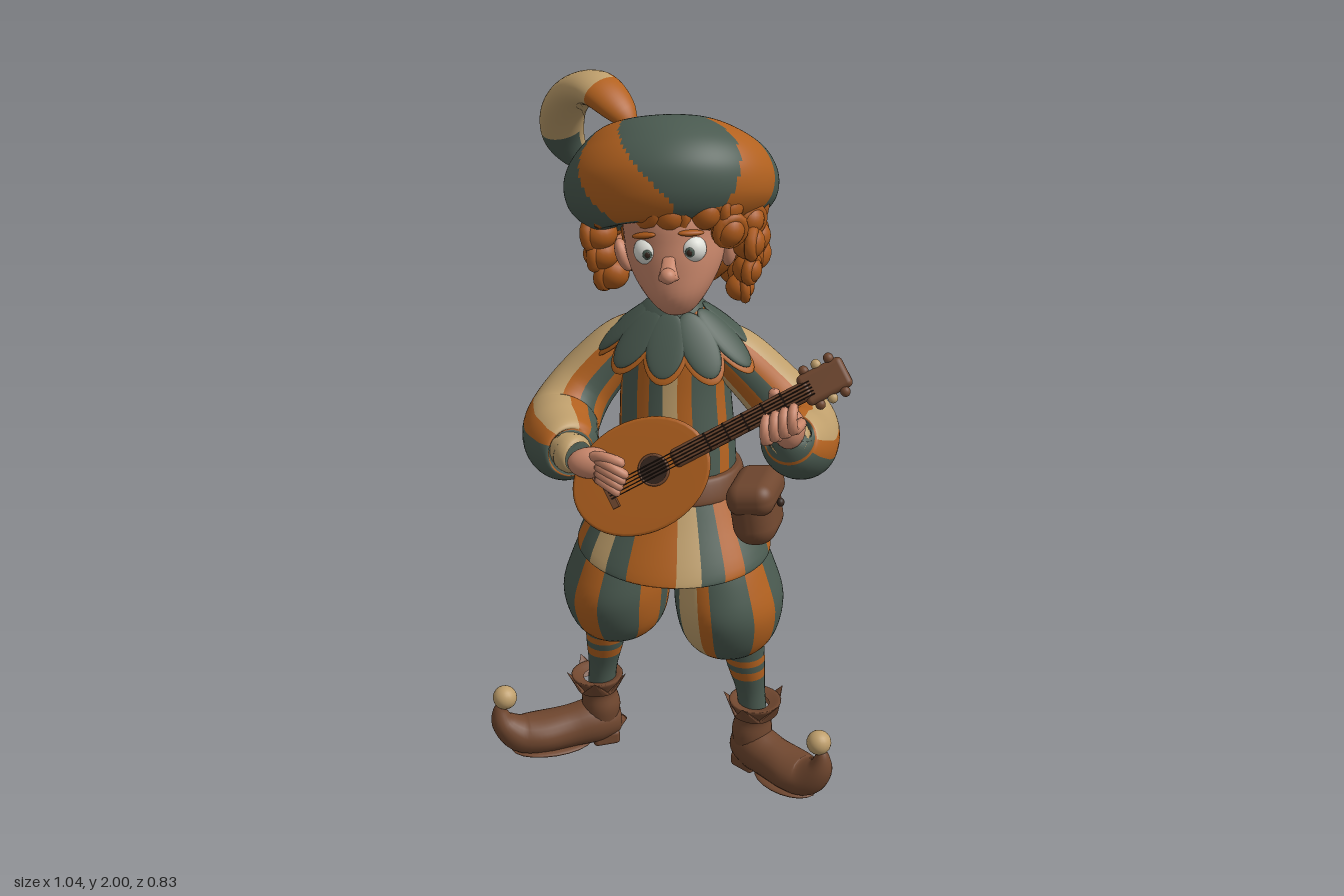
import * as THREE from 'three';
import { RoundedBoxGeometry } from 'three/addons/geometries/RoundedBoxGeometry.js';

const V = (x, y, z) => new THREE.Vector3(x, y, z);
const X = V(1, 0, 0), Y = V(0, 1, 0), Z = V(0, 0, 1);

export function createModel() {
  const root = new THREE.Group();
  root.name = 'minstrel';
  const mat = (name, color) => Object.assign(new THREE.MeshStandardMaterial({ color }), { name });
  const M = {
    G: mat('green cloth', 0x4a5a50), O: mat('orange cloth', 0xb2611f), C: mat('cream cloth', 0xbf9f6c),
    B: mat('brown leather', 0x70472f), S: mat('skin', 0xc8866a), H: mat('ginger hair', 0xa9581a),
    W: mat('eye white', 0xdedfd8), D: mat('dark brown', 0x35261e),
  };

  const add = (name, geo, key, pos = [0, 0, 0], parent = root, scale = [1, 1, 1], rot = [0, 0, 0]) => {
    const m = new THREE.Mesh(geo, M[key]);
    m.name = name;
    m.position.set(...pos); m.scale.set(...scale); m.rotation.set(...rot);
    parent.add(m);
    return m;
  };
  const group = (name, pos = [0, 0, 0], rot = [0, 0, 0], parent = root) => {
    const g = new THREE.Group();
    g.name = name; g.position.set(...pos); g.rotation.set(...rot);
    parent.add(g);
    return g;
  };
  const ball = new THREE.SphereGeometry(1, 20, 14);
  const stripes = s => u => s[Math.floor(u * s.length)];

  // Smooth tube through elliptical sections [x, y, z, radius along ref, radius across it].
  // paint is a colour key or a function (u around, v along, point) giving one.
  function loft(name, keys, paint, { parent = root, ref = Z, axis = null, nu = 24, nv = 20, warp = null } = {}) {
    const spline = pick => new THREE.CatmullRomCurve3(keys.map(pick), false, 'catmullrom', 0.5);
    const path = spline(k => V(k[0], k[1], k[2])), size = spline(k => V(k[3], k[4], 0));
    const pos = [], faces = {};
    for (let j = 0; j <= nv; j++) {
      const c = path.getPoint(j / nv), r = size.getPoint(j / nv);
      const T = axis || path.getTangent(j / nv);
      const N = ref.clone().addScaledVector(T, -ref.dot(T)).normalize(), B = V().crossVectors(T, N);
      for (let i = 0; i < nu; i++) {
        const a = i / nu * Math.PI * 2;
        const p = c.clone().addScaledVector(N, Math.cos(a) * Math.max(r.x, 0.001)).addScaledVector(B, Math.sin(a) * Math.max(r.y, 0.001));
        if (warp) warp(p, j / nv);
        pos.push(p.x, p.y, p.z);
      }
    }
    for (let j = 0; j < nv; j++) for (let i = 0; i < nu; i++) {
      const n = (i + 1) % nu, a = j * nu + i, b = j * nu + n, c = b + nu, d = a + nu;
      const key = typeof paint === 'string' ? paint : paint((i + 0.5) / nu, (j + 0.5) / nv, V(pos[a * 3], pos[a * 3 + 1], pos[a * 3 + 2]));
      (faces[key] ||= []).push(a, b, c, a, c, d);
    }
    const geo = new THREE.BufferGeometry(), index = [], mats = [];
    for (const key in faces) {
      geo.addGroup(index.length, faces[key].length, mats.length);
      for (const f of faces[key]) index.push(f);
      mats.push(M[key]);
    }
    geo.setAttribute('position', new THREE.Float32BufferAttribute(pos, 3));
    geo.setIndex(index);
    geo.computeVertexNormals();
    const mesh = new THREE.Mesh(geo, mats);
    mesh.name = name;
    parent.add(mesh);
    return mesh;
  }

  // Tunic, skirt and belt
  loft('tunic', [[.01, .93, .03, .14, .17], [.01, 1.05, .01, .13, .16], [0, 1.2, -.01, .12, .15], [0, 1.32, -.015, .105, .14], [0, 1.4, -.01, .07, .1], [0, 1.44, 0, .05, .06]],
    stripes('COGGOGGGGGGGGGGGGGGOGGOG'), { axis: Y, nu: 48 });
  loft('tunicSkirt', [[.02, .84, .07, .01, .01], [.02, .78, .08, .19, .22], [.022, .77, .08, .218, .268], [.018, .88, .05, .175, .215], [.01, .98, .025, .142, .172]],
    stripes('OCGOGGOGGGGOGGGOGGGOGCGO'), { axis: Y, nu: 72, warp: (p, v) => { p.y -= (p.z - .08) * .18 * (1 - v); } });
  loft('belt', [[.01, .925, .035, .145, .175], [.01, .932, .035, .165, .196], [.01, .985, .025, .152, .183], [.01, .992, .025, .135, .165]], 'B', { axis: Y, nu: 40 });

  // Belt pouch
  const pouch = group('pouch', [.265, .925, .125], [0, 0, .15]);
  add('pouchBag', new RoundedBoxGeometry(.12, .18, .17, 5, .055), 'B', [0, 0, 0], pouch);
  add('pouchFlap', new RoundedBoxGeometry(.13, .09, .185, 5, .04), 'B', [.004, .05, 0], pouch);
  add('pouchButton', ball, 'D', [.068, .015, 0], pouch, [.01, .012, .012]);

  // Legs and shoes, one pass per side
  for (const s of [-1, 1]) {
    const side = s > 0 ? 'left' : 'right', x = s * .163 + .012;
    loft(side + 'Breeches', [[x, .455, .04, .03, .03], [x, .445, .04, .1, .085], [x, .5, .045, .155, .13], [x, .6, .055, .18, .148], [x - s * .015, .7, .055, .16, .135], [x - s * .035, .8, .05, .125, .115], [x - s * .05, .9, .04, .1, .1]],
      stripes(s > 0 ? 'GGGOOGGGGGGGGGGGOGGGGCCO' : 'GGGOOGOGGGOGGCGGGGGGGGOO'), { axis: Y, nu: 72, nv: 28 });
    loft(side + 'Stocking', [[s * .232 + .004, .17, -.005, .04, .04], [s * .223 + .004, .27, 0, .042, .042], [s * .21 + .005, .37, .015, .056, .055], [s * .2 + .005, .47, .03, .065, .062]],
      (u, v, p) => (Math.abs(p.y - .388) < .013 || Math.abs(p.y - .337) < .013) ? 'O' : 'G', { axis: Y, nv: 40 });

    const shoe = group(side + 'Shoe', [s * .24 + .002, 0, 0], [0, s > 0 ? 1.1 : -1.0, 0]);
    const f = s > 0 ? .81 : .94;
    loft('shoeBody', [[0, .07, -.068, .002, .002], [0, .07, -.06, .04, .045], [0, .075, 0, .062, .068], [0, .066, .09 * f, .064, .062], [0, .062, .18 * f, .072, .057], [0, .068, .25 * f, .062, .055], [0, .11, .3 * f, .042, .038], [0, .155, .312 * f, .022, .022], [0, .185, .3 * f, .01, .01]], 'B', { parent: shoe, ref: X, nv: 36 });
    loft('shoeShaft', [[0, .06, -.005, .05, .05], [0, .13, -.01, .057, .06], [0, .185, -.005, .052, .052], [0, .235, 0, .076, .074], [0, .225, 0, .04, .04]], 'B', { parent: shoe, axis: Y });
    add('shoeHeel', new RoundedBoxGeometry(.085, .045, .08, 3, .012), 'B', [0, .0225, -.018], shoe);
    add('shoeSole', ball, 'B', [0, .012, .15 * f], shoe, [.066, .012, .13 * f]);
    add('toeBell', ball, 'C', [0, .2, .295 * f], shoe, [.035, .035, .035]);
    for (let i = 0; i < 5; i++) {
      const flap = group('cuffPoint', [0, .215, 0], [0, i * Math.PI * .4, 0], shoe);
      add('cuffPointLeaf', new THREE.ConeGeometry(.04, .07, 12), 'B', [0, .01, .072], flap, [1, 1, .25], [.6, 0, 0]);
    }
  }

  // Sleeves and cream cuffs
  const sleevePaint = pattern => (u, v) => v > .94 ? 'O' : v > .87 ? 'G' : v > .83 ? 'O' : stripes(pattern)(u);
  loft('leftSleeve', [[.1, 1.33, -.02, .06, .06], [.17, 1.28, -.035, .075, .08], [.27, 1.18, -.045, .086, .088], [.342, 1.115, -.015, .1, .1], [.37, 1.115, .08, .095, .1], [.373, 1.155, .175, .087, .092], [.372, 1.185, .22, .065, .065], [.372, 1.185, .21, .03, .03]],
    sleevePaint('COGOCGGGGGOC'), { ref: V(.7, .7, 0), nu: 48, nv: 44 });
  loft('rightSleeve', [[-.1, 1.33, -.02, .06, .06], [-.165, 1.275, -.015, .075, .078], [-.25, 1.17, .03, .088, .092], [-.28, 1.1, .11, .1, .1], [-.25, 1.095, .21, .1, .1], [-.205, 1.105, .285, .085, .085], [-.185, 1.11, .31, .06, .06], [-.195, 1.11, .3, .03, .03]],
    sleevePaint('OGGGGGGOGOCC'), { ref: V(-.7, .7, 0), nu: 48, nv: 44 });
  loft('leftCuff', [[.373, 1.17, .19, .05, .05], [.373, 1.195, .235, .052, .052], [.373, 1.2, .245, .04, .04]], 'C', { ref: X });
  loft('rightCuff', [[-.21, 1.11, .29, .05, .05], [-.175, 1.112, .32, .052, .052], [-.16, 1.112, .33, .04, .04]], 'C', { ref: Y });

  // Hands
  const finger = (name, pts, r) => loft(name, [[...pts[0], r, r], ...pts.map((p, i) => [p[0], p[1] - .001, p[2], r * (1 - i * .06), r * (1 - i * .06)]), [...pts.at(-1).map((c, i) => c + (c - pts.at(-2)[i]) * .25), .001, .001]], 'S', { ref: V(.3, .2, -.9), nu: 10, nv: 12 });
  add('leftPalm', ball, 'S', [.378, 1.235, .262], root, [.042, .055, .04]);
  add('rightPalm', ball, 'S', [-.115, 1.112, .355], root, [.062, .042, .036], [0, .3, 0]);
  for (let i = 0; i < 4; i++) {
    const x = .338 + i * .023, y = 1.222 + i * .013;
    finger('leftFinger', [[x + .005, y, .28], [x, y + .005, .335], [x - .004, y + .04, .34], [x - .006, y + .062, .315]], .0145);
    finger('rightFinger', [[-.09, 1.135 - i * .018, .375], [-.05, 1.132 - i * .02, .397], [-.012 - i * .006, 1.112 - i * .018, .393]], .0135);
  }
  finger('leftThumb', [[.35, 1.25, .25], [.335, 1.295, .24], [.335, 1.325, .25]], .016);
  finger('rightThumb', [[-.11, 1.135, .365], [-.07, 1.15, .385], [-.025, 1.14, .385]], .015);

  // Lute: local x along the neck, z out of the soundboard
  const lute = group('lute');
  const d = V(.83, .514, -.216).normalize(), across = V().crossVectors(V(.02, .36, .93), d).normalize();
  lute.quaternion.setFromRotationMatrix(new THREE.Matrix4().makeBasis(d, across, V().crossVectors(d, across)));
  lute.position.set(.018, 1.09, .35);
  loft('luteBody', [[0, 0, -.135, .001, .001], [0, 0, -.125, .08, .06], [0, 0, -.08, .155, .115], [0, 0, -.015, .185, .137], [0, 0, .008, .185, .138], [0, 0, .012, .17, .125], [0, 0, .0125, .001, .001]],
    'O', { parent: lute, ref: X, axis: Z, nu: 40 });
  add('luteRim', new THREE.TorusGeometry(.138, .005, 8, 48), 'O', [0, 0, .006], lute, [1.34, 1, 1]);
  add('soundHoleRing', new THREE.TorusGeometry(.038, .004, 6, 30), 'B', [.04, 0, .015], lute);
  add('soundHole', new THREE.CircleGeometry(.036, 28), 'D', [.04, 0, .0175], lute);
  add('bridge', new THREE.BoxGeometry(.018, .085, .014), 'B', [-.09, 0, .019], lute);
  add('luteNeck', new RoundedBoxGeometry(.4, .05, .038, 3, .014), 'B', [.295, 0, .005], lute);
  add('pegHead', new RoundedBoxGeometry(.125, .082, .034, 3, .014), 'B', [.53, 0, -.002], lute, [1, 1, 1], [0, .12, 0]);
  for (let i = 0; i < 5; i++) {
    add('string', new THREE.CylinderGeometry(.0016, .0016, .59, 5), 'D', [.205, (i - 2) * .0085, .028], lute, [1, 1, 1], [0, 0, Math.PI / 2]);
    add('fret', new THREE.BoxGeometry(.004, .05, .004), 'D', [.2 + i * .055, 0, .0245], lute);
  }
  for (const s of [-1, 1]) for (let i = 0; i < 3; i++)
    add('tuningPeg', ball, i % 2 ? 'C' : 'B', [.495 + i * .035, s * .046, 0], lute, [.013, .014, .012]);

  // Scalloped collar with orange edging, lower at the front
  loft('collarBase', [[0, 1.35, 0, .1, .12], [0, 1.4, 0, .09, .105], [.005, 1.445, .005, .062, .068], [.005, 1.45, .005, .04, .04]], 'G', { axis: Y });
  const collar = group('collar', [.012, 1.37, .012], [.14, 0, 0]);
  collar.scale.set(1.06, 1, .78);
  for (let i = 0; i < 10; i++) {
    const petal = group('collarPetal', [0, 0, 0], [0, i / 10 * Math.PI * 2, 0], collar);
    add('petalEdge', ball, 'O', [0, -.01, .136], petal, [.058, .108, .009], [-.8, 0, 0]);
    add('petalCloth', ball, 'G', [0, 0, .136], petal, [.05, .098, .011], [-.8, 0, 0]);
  }

  // Head and face
  add('neck', new THREE.CylinderGeometry(.048, .055, .14, 20), 'S', [.01, 1.46, .005]);
  const head = group('head', [.03, 1.455, .025], [0, .17, .1]);
  loft('face', [[0, 0, .09, .002, .002], [0, .006, .088, .045, .04], [0, .055, .065, .098, .085], [0, .12, .025, .138, .122], [0, .19, 0, .155, .133], [0, .28, 0, .13, .12], [0, .33, 0, .01, .01]], 'S', { parent: head, axis: Y, nu: 32, nv: 30 });
  loft('nose', [[0, .175, .14, .012, .014], [0, .155, .172, .018, .018], [0, .133, .193, .023, .025], [0, .118, .178, .018, .024], [0, .112, .15, .004, .006]], 'S', { parent: head, ref: Z, axis: V(0, -1, 0), nu: 18 });
  add('noseTip', ball, 'S', [0, .136, .2], head, [.021, .02, .022]);
  const smile = new THREE.CatmullRomCurve3([V(-.045, .086, .137), V(-.022, .071, .154), V(0, .067, .159), V(.022, .071, .154), V(.045, .086, .137)]);
  add('mouth', new THREE.TubeGeometry(smile, 20, .0035, 6), 'D', [0, 0, 0], head);
  for (const s of [-1, 1]) {
    add('eye', ball, 'W', [s * .057, .178, .122], head, [.036, .036, .033]);
    add('iris', ball, 'G', [s * .054, .178, .1525], head, [.012, .013, .005]);
    add('pupil', ball, 'D', [s * .053, .178, .156], head, [.007, .008, .003]);
    add('eyebrow', ball, 'H', [s * .06, .224, .138], head, [.034, .008, .012], [0, s * .35, -s * .12]);
    add('ear', ball, 'S', [s * .138, .135, .02], head, [.02, .045, .03], [0, 0, -s * .25]);
  }

  // Curly hair: a core with rings of curls, open around the face
  const hair = group('hair');
  add('hairCore', ball, 'H', [.005, 1.62, -.05], hair, [.165, .16, .11]);
  let seed = 7;
  const rnd = () => (seed = seed * 16807 % 2147483647) / 2147483647;
  [[1.725, 0, 15, .176], [1.685, .8, 11, .196], [1.625, 1.15, 10, .205], [1.56, 1.2, 9, .2], [1.505, 1.25, 9, .175]].forEach(([y, open, count, r]) => {
    for (let i = 0; i < count; i++) {
      const a = open + (i + .5) / count * (Math.PI * 2 - open * 2) + (rnd() - .5) * .1;
      const k = .038 + rnd() * .012;
      const p = [.003 + Math.sin(a) * r, y + (rnd() - .5) * .03, -.01 + Math.cos(a) * r * .83];
      add('curl', ball, 'H', p, hair, [k, k * .9, k], [rnd(), a, rnd()]);
      add('curlCoil', new THREE.TorusGeometry(k * .75, k * .36, 8, 14), 'H', [p[0] + Math.sin(a) * .012, p[1], p[2] + Math.cos(a) * .012], hair, [1, 1, 1], [rnd() - .5, a + rnd() - .5, 0]);
    }
  });

  // Beret with two slanting orange gores
  const hat = group('beret', [-.022, 1.73, -.043], [-.4, 0, .17]);
  const gore = (deg, v, rim, top, half) => {
    const t = THREE.MathUtils.clamp((v - .35) / .5, 0, 1);
    return Math.abs(deg - rim - (top - rim) * t) < half * (1 - t * .35);
  };
  loft('beretCloth', [[0, -.07, 0, .1, .1], [0, -.1, 0, .17, .17], [0, -.09, 0, .21, .22], [0, -.04, -.005, .25, .27], [0, .03, 0, .257, .277], [0, .1, .015, .212, .235], [-.01, .16, .035, .125, .14], [-.01, .18, .04, .002, .002]],
    (u, v) => {
      const deg = u > .5 ? u * 360 - 360 : u * 360;
      return v > .22 && v < .88 && (gore(deg, v, -8, -42, 23) || v < .84 && gore(deg, v, 66, 74, 19)) ? 'O' : 'G';
    }, { parent: hat, axis: Y, nu: 144, nv: 80 });

  // Drooping feather with a bell at its tip
  loft('feather', [[-.12, 1.87, -.04, .012, .01], [-.165, 1.92, -.06, .045, .03], [-.24, 1.955, -.105, .062, .042], [-.32, 1.925, -.18, .068, .046], [-.385, 1.855, -.25, .066, .045], [-.412, 1.77, -.31, .06, .04], [-.4, 1.7, -.355, .042, .03], [-.36, 1.645, -.375, .012, .01], [-.355, 1.62, -.375, .004, .004]],
    (u, v) => v < .22 || (v < .48 && (u < .08 || u > .85)) ? 'O' : v > .6 && v < .92 && u > .15 && u < .48 ? 'G' : 'C', { ref: V(.75, .1, -.65), nu: 40, nv: 50 });
  add('featherBell', ball, 'C', [-.355, 1.588, -.375], root, [.04, .04, .04]);

  return root;
}
